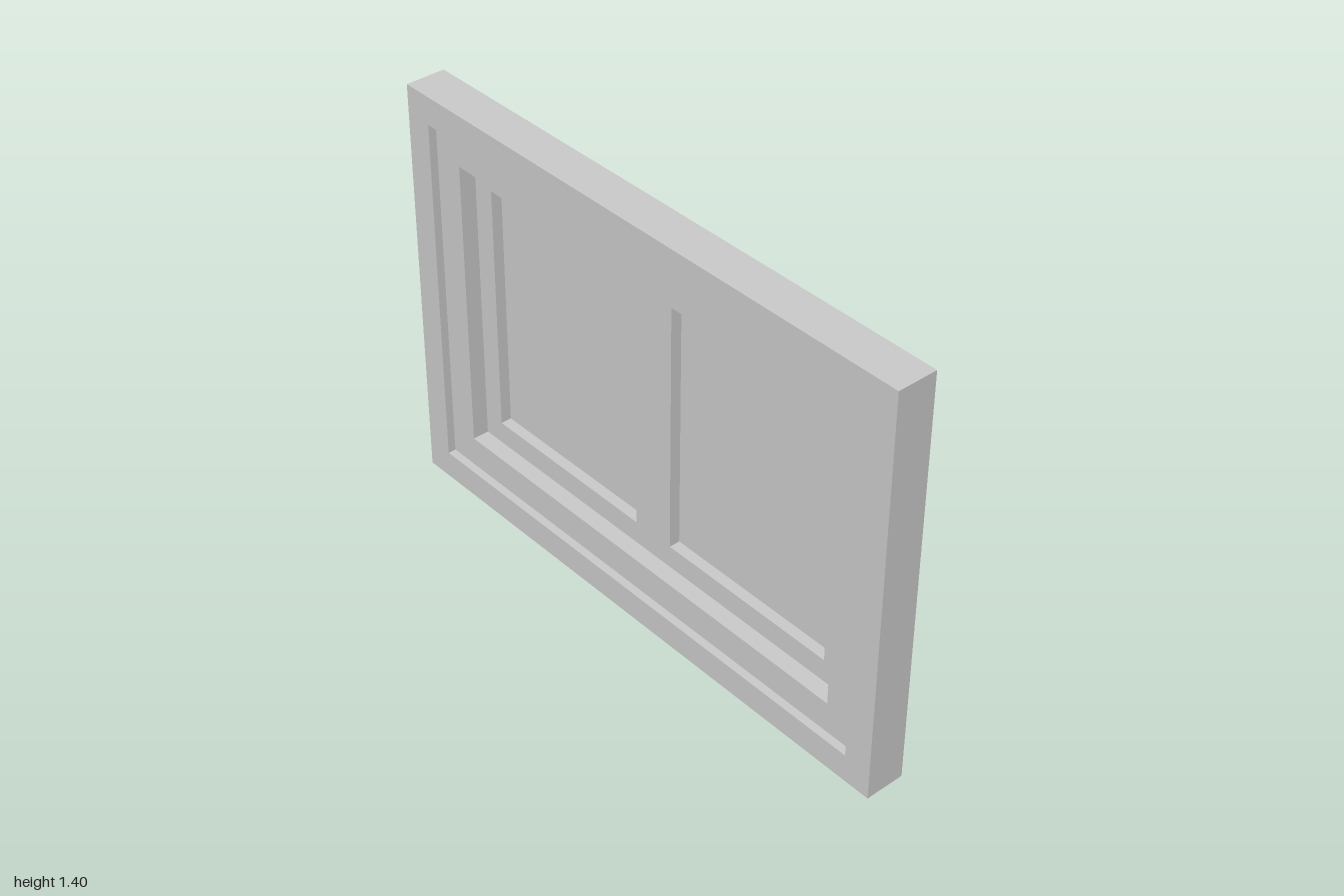
import * as THREE from 'three';
import { mergeGeometries } from 'three/addons/utils/BufferGeometryUtils.js';

// Panelled window leaf pressed from thin sheet: moulded on -x, hollow on +x.
// Built upright in local XY with depth along local z, then turned so depth runs along x.
const H = 1.4;
const LEVEL = { frame: -0.067, inner: -0.04, base: 0.016, panel: 0.053, back: 0.067, rim: 0.056 };

// Rectangle described by its centre and size
const inset = (d) => ({ cx: 0, cy: H / 2, w: 2 - 2 * d, h: H - 2 * d });

function addRect(path, { cx, cy, w, h }) {
  path.moveTo(cx - w / 2, cy - h / 2);
  path.lineTo(cx + w / 2, cy - h / 2);
  path.lineTo(cx + w / 2, cy + h / 2);
  path.lineTo(cx - w / 2, cy + h / 2);
  path.closePath();
  return path;
}

// Flat sheet with rectangular holes
function sheet(rect, holes, z) {
  const shape = addRect(new THREE.Shape(), rect);
  holes.forEach((r) => shape.holes.push(addRect(new THREE.Path(), r)));
  return new THREE.ShapeGeometry(shape).translate(0, 0, z);
}

// Four thin walls around a rectangle, from depth z0 to z1
function walls({ cx, cy, w, h }, z0, z1) {
  const d = z1 - z0;
  const sides = [];
  for (const s of [-1, 1]) {
    sides.push(new THREE.PlaneGeometry(d, h).rotateY(s * Math.PI / 2).translate(s * w / 2, 0, 0));
    sides.push(new THREE.PlaneGeometry(w, d).rotateX(-s * Math.PI / 2).translate(0, s * h / 2, 0));
  }
  return mergeGeometries(sides).translate(cx, cy, (z0 + z1) / 2);
}

export function createModel() {
  const group = new THREE.Group();
  group.name = 'windowLeaf';
  const material = new THREE.MeshStandardMaterial({ color: 0xcccccc, side: THREE.DoubleSide });
  const add = (name, ...parts) => {
    const mesh = new THREE.Mesh(mergeGeometries(parts).rotateY(Math.PI / 2), material);
    mesh.name = name;
    group.add(mesh);
  };

  const outer = inset(0);
  const middle = inset(0.095);
  const opening = inset(0.2);
  const panels = [-1, 1].map((s) => ({ cx: s * 0.4, cy: 0.703, w: 0.65, h: 0.852 }));

  // Outer frame: a channel open at the back
  add('outerFrame',
    sheet(outer, [middle], LEVEL.frame),
    walls(outer, LEVEL.frame, LEVEL.back),
    walls(middle, LEVEL.frame, LEVEL.back));

  // Inner frame: a second, set-back channel
  add('innerFrame',
    sheet(middle, [opening], LEVEL.inner),
    walls(opening, LEVEL.inner, LEVEL.rim));

  // Backing with the two panel cut-outs
  add('backing', sheet(opening, panels, LEVEL.base));

  // Two recessed panels
  panels.forEach((p, i) => add(i ? 'backPanel' : 'frontPanel',
    sheet(p, [], LEVEL.panel),
    walls(p, LEVEL.base, LEVEL.panel)));

  return group;
}
